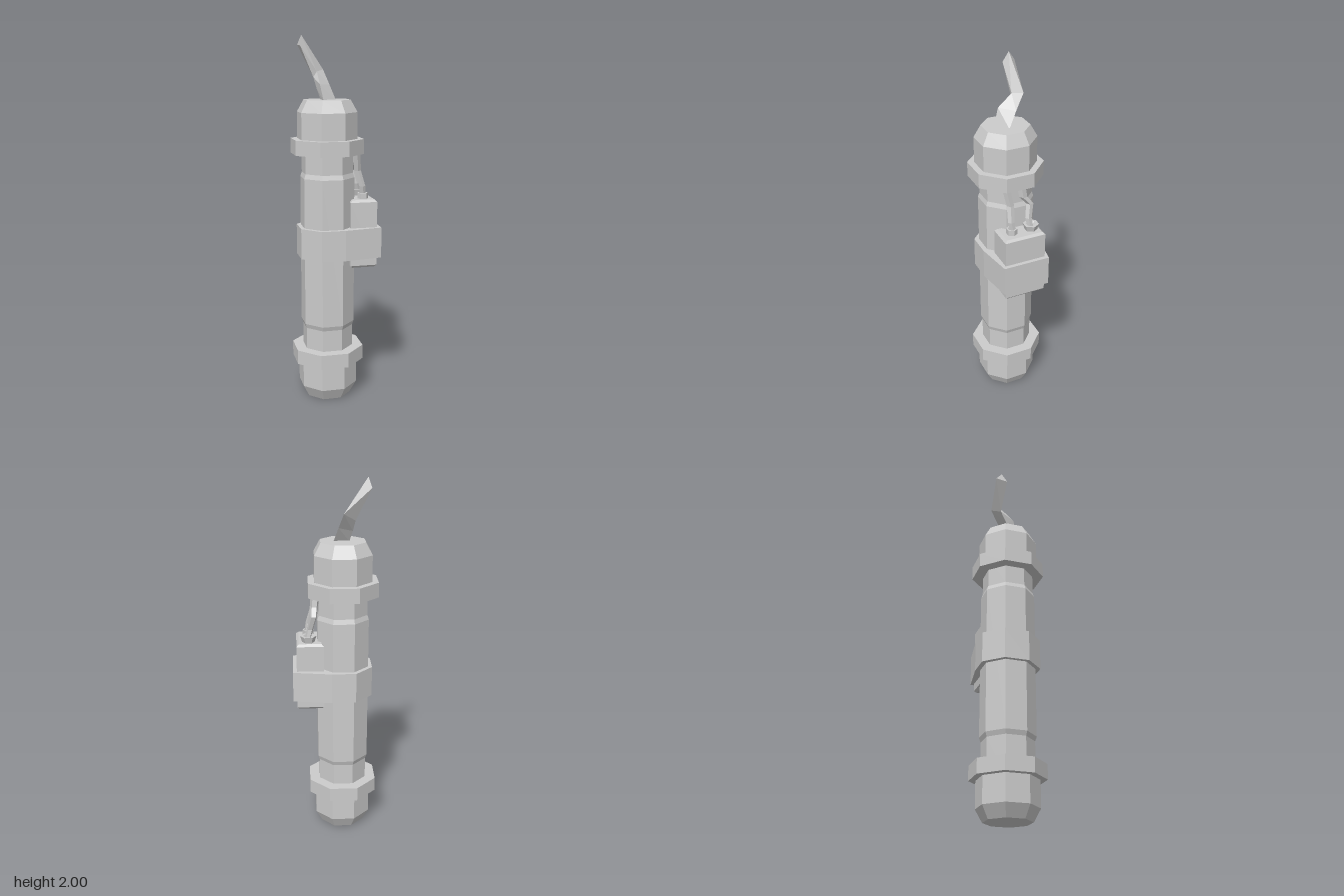
import * as THREE from 'three';

const AXIS_X = -0.045;
const grey = () => new THREE.MeshStandardMaterial({ color: 0xcccccc, flatShading: true });

function addMesh(parent, name, geometry, x = 0, y = 0, z = 0) {
  const mesh = new THREE.Mesh(geometry, grey());
  mesh.name = name;
  mesh.position.set(x, y, z);
  parent.add(mesh);
  return mesh;
}

// Faceted solid of revolution; profile is [flat radius, y] from bottom to top
function faceted(profile, sides) {
  const k = 1 / Math.cos(Math.PI / sides);
  const points = profile.map(([r, y]) => new THREE.Vector2(r * k, y));
  return new THREE.LatheGeometry(points, sides, Math.PI / sides);
}

// Closed solid through rings of equal length, each counter-clockwise from above
function loft(rings) {
  const n = rings[0].length;
  const pos = rings.flat(2);
  const index = [];
  for (let r = 0; r < rings.length - 1; r++) {
    for (let i = 0; i < n; i++) {
      const a = r * n + i, b = r * n + (i + 1) % n;
      index.push(a, b, a + n, b, b + n, a + n);
    }
  }
  const top = (rings.length - 1) * n;
  for (let i = 1; i < n - 1; i++) {
    index.push(0, i + 1, i, top, top + i, top + i + 1);
  }
  const g = new THREE.BufferGeometry();
  g.setAttribute('position', new THREE.Float32BufferAttribute(pos, 3));
  g.setIndex(index);
  g.computeVertexNormals();
  return g;
}

// Horizontal ring of points around a centre
const ring = ([x, y, z], radius, n) => Array.from({ length: n }, (_, i) => {
  const a = (i / n) * Math.PI * 2;
  return [x + Math.sin(a) * radius, y, z + Math.cos(a) * radius];
});

// Horizontal rectangle
const rect = (x0, x1, hz, y) => [[x0, y, hz], [x1, y, hz], [x1, y, -hz], [x0, y, -hz]];

export function createModel() {
  const model = new THREE.Group();
  model.name = 'fusedCharge';

  // Octagonal body with slimmer ends
  addMesh(model, 'body', faceted([
    [0, 0.2], [0.13, 0.2], [0.13, 0.41], [0.138, 0.435],
    [0.138, 1.25], [0.13, 1.275], [0.13, 1.46], [0, 1.46],
  ], 8), AXIS_X);

  // End caps and collars
  addMesh(model, 'bottomCap', faceted([
    [0, 0], [0.118, 0], [0.152, 0.067], [0.152, 0.25], [0, 0.25],
  ], 8), AXIS_X);
  addMesh(model, 'topCap', faceted([
    [0, 1.42], [0.152, 1.42], [0.152, 1.6], [0.118, 1.665], [0, 1.665],
  ], 8), AXIS_X);
  for (const [name, y] of [['bottomCollar', 0.21], ['topCollar', 1.378]]) {
    addMesh(model, name, faceted([[0, 0], [0.186, 0], [0.186, 0.08], [0, 0.08]], 8), AXIS_X, y);
  }

  // Strap wrapped around the body and the box
  const half = [[-0.204, 0.067], [-0.111, 0.163], [0.021, 0.163], [0.228, 0.13]];
  const outline = [...half, ...half.map(([x, z]) => [x, -z]).reverse()];
  const strap = new THREE.ExtrudeGeometry(
    new THREE.Shape(outline.map(([x, z]) => new THREE.Vector2(x, z))),
    { depth: 0.168, bevelEnabled: false });
  strap.rotateX(-Math.PI / 2);
  addMesh(model, 'strap', strap, 0, 0.812);

  // Control box with chamfered top and bottom
  addMesh(model, 'controlBox', loft([
    rect(0.072, 0.195, 0.102, 0.755), rect(0.06, 0.207, 0.115, 0.768),
    rect(0.06, 0.207, 0.115, 1.12), rect(0.072, 0.195, 0.102, 1.132),
  ]));

  // Hexagonal sockets on top of the box
  addMesh(model, 'frontSocket', faceted([
    [0.026, 0], [0.026, 0.033], [0.019, 0.033], [0.01, 0.012],
  ], 6).rotateY(Math.PI / 6 * 2), 0.142, 1.13, 0.05).rotation.y = Math.PI / 6 * 2;
  addMesh(model, 'backSocket', faceted([
    [0.029, 0], [0.038, 0.035], [0.025, 0.035], [0.012, 0.015],
  ], 6), 0.142, 1.13, -0.061);

  // Kinked wires running from the sockets up behind the collar
  const wires = {
    frontWire: [[0.146, 1.14, 0.042], [0.138, 1.2, 0.052], [0.112, 1.285, 0.045], [0.1, 1.4, 0.068]],
    backWire: [[0.146, 1.14, -0.058], [0.132, 1.2, -0.05], [0.113, 1.275, -0.066],
      [0.108, 1.32, -0.03], [0.1, 1.4, -0.018]],
  };
  for (const [name, path] of Object.entries(wires)) {
    addMesh(model, name, loft(path.map((p, i) => ring(p, 0.016 + 0.002 * i, 5))));
  }

  // Bent three-sided fuse
  addMesh(model, 'fuse', loft([
    [[-0.074, 1.66, 0.05], [0.004, 1.66, 0], [-0.08, 1.66, 0.005]],
    [[-0.088, 1.745, 0.022], [-0.02, 1.74, -0.048], [-0.095, 1.72, -0.025]],
    [[-0.088, 1.81, -0.054], [-0.044, 1.82, -0.1], [-0.106, 1.78, -0.06]],
    [[-0.167, 2, -0.075], [-0.183, 1.95, -0.113], [-0.179, 1.945, -0.046]],
  ]));

  return model;
}
